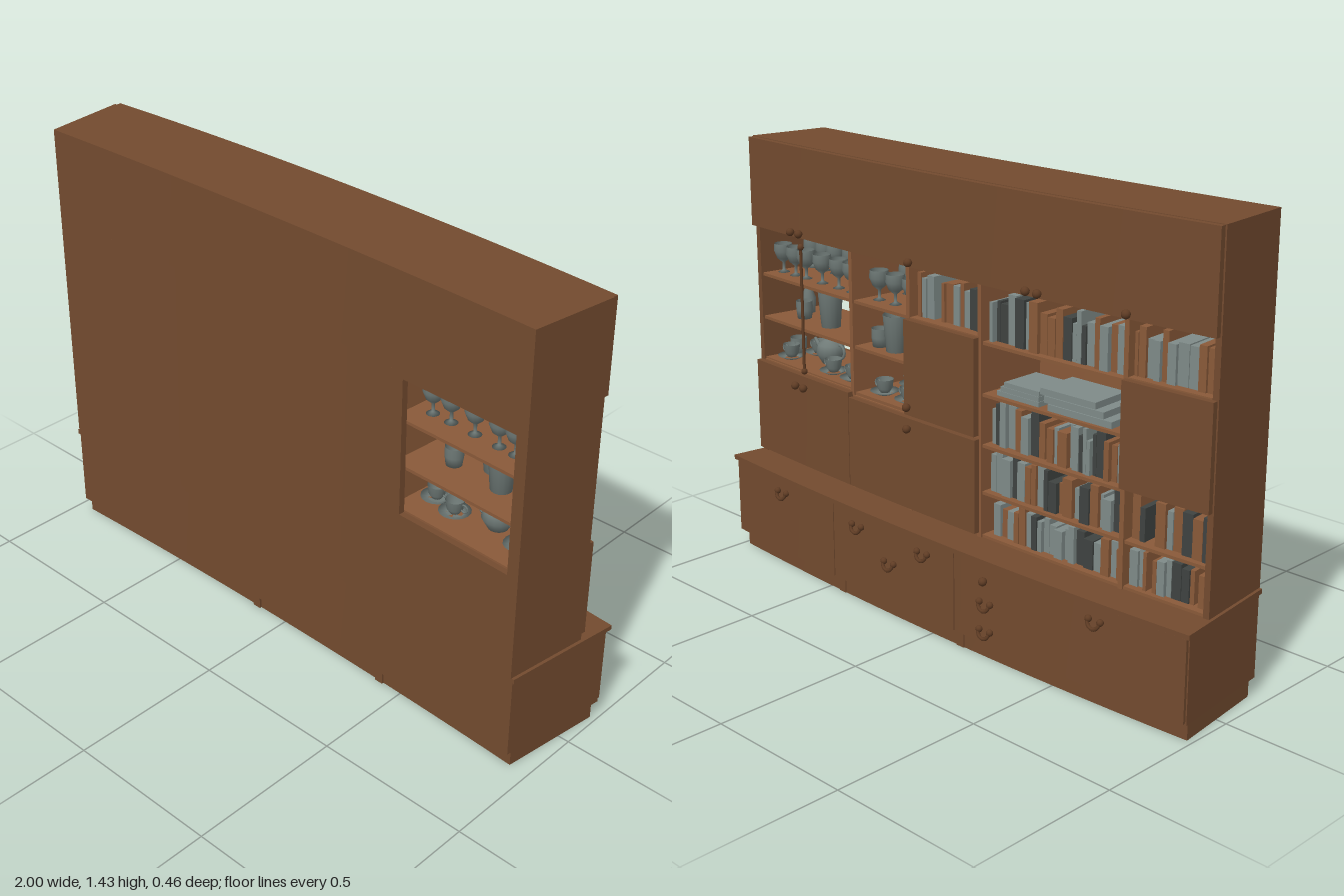
import * as THREE from 'three';

const mat = (name, color, side = THREE.FrontSide) => {
  const m = new THREE.MeshStandardMaterial({ color, side });
  m.name = name;
  return m;
};

// Gently bowed plan: u runs along the cabinet, d is depth at its middle.
const bow = (u, d) => [
  u * (1 - 0.12 * (d + 0.21)) - 0.012 * (d + 0.21),
  d + (0.0286 - 0.045 * d) * u * u + 0.01 * u,
];

export function createModel() {
  const root = new THREE.Group();
  root.name = 'curvedWallCabinet';
  const wood = mat('walnut', 0x734b2f);
  const inner = mat('light wood', 0x8a5a39);
  const metal = mat('bronze', 0x5f3c24);
  const grey = mat('grey china', 0x6f7a77, THREE.DoubleSide);
  const paper = mat('pale book', 0x7f8b89);
  const dark = mat('dark book', 0x3f4341);

  let seed = 7;
  const rnd = () => (seed = (seed * 16807) % 2147483647) / 2147483647;

  const add = (name, geo, material, parent = root) => {
    const m = new THREE.Mesh(geo, material);
    m.name = name;
    parent.add(m);
    return m;
  };

  // Box bent along the bow
  const slab = (name, u0, u1, y0, y1, d0, d1, material = wood, parent = root) => {
    const n = Math.max(1, Math.ceil((u1 - u0) * 12));
    const g = new THREE.BoxGeometry(u1 - u0, y1 - y0, d1 - d0, n, 1, 1);
    g.translate((u0 + u1) / 2, (y0 + y1) / 2, (d0 + d1) / 2);
    const p = g.attributes.position;
    for (let i = 0; i < p.count; i++) {
      const [x, z] = bow(p.getX(i), p.getZ(i));
      p.setXYZ(i, x, p.getY(i), z);
    }
    g.computeVertexNormals();
    return add(name, g, material, parent);
  };

  // Base, worktop and three cupboard fronts
  slab('base', -0.992, 0.992, 0.055, 0.32, -0.197, 0.187);
  slab('worktop', -1, 1, 0.32, 0.335, -0.215, 0.19);
  for (const [a, b] of [[-0.988, -0.127], [-0.123, 0.443], [0.447, 0.988]])
    slab('baseFront', a, b, 0.062, 0.316, -0.208, -0.197);

  // Hollow plinth
  slab('plinthFront', -0.985, 0.985, 0, 0.055, 0.15, 0.165);
  slab('plinthBack', -0.985, 0.985, 0, 0.055, -0.178, -0.163);
  for (const u of [-0.978, 0.978]) slab('plinthEnd', u - 0.007, u + 0.007, 0, 0.055, -0.163, 0.15);
  for (const u of [-0.125, 0.44]) slab('plinthDivider', u - 0.015, u + 0.015, 0, 0.055, -0.182, 0.172);

  // Upper carcass: wall with a serving hatch, ends and top box
  slab('wall', -0.99, 0.53, 0.335, 1.13, 0.173, 0.193);
  slab('wallEdge', 0.95, 0.99, 0.335, 1.13, 0.173, 0.193);
  slab('wallBelowHatch', 0.53, 0.95, 0.335, 0.67, 0.173, 0.193);
  slab('wallAboveHatch', 0.53, 0.95, 1.11, 1.13, 0.173, 0.193);
  slab('topBox', -0.99, 0.99, 1.13, 1.43, -0.095, 0.193);
  slab('topDoors', -0.985, 0.985, 1.133, 1.428, -0.115, -0.095);
  for (const u of [-0.98, 0.98]) slab('endPanel', u - 0.01, u + 0.01, 0.335, 1.13, -0.095, 0.173);
  for (const u of [-0.68, -0.12, 0.195, 0.475])
    slab('divider', u - 0.008, u + 0.008, 0.335, 1.13, -0.095, 0.173, inner);
  slab('innerBack', -0.97, 0.467, 0.335, 1.13, 0.163, 0.173, inner);

  // Closed compartments with their doors
  const cupboards = [
    [0.475, 0.985, 0.35, 0.665], [-0.12, 0.472, 0.35, 0.65],
    [-0.117, 0.195, 0.66, 0.965], [-0.985, -0.68, 0.645, 0.96],
  ];
  for (const [a, b, y0, y1] of cupboards) {
    slab('cupboard', Math.max(a, -0.97) + 0.002, Math.min(b, 0.97) - 0.002, y0, y1 + 0.004, -0.094, 0.163, inner);
    slab('cupboardDoor', a, b, y0, y1, -0.115, -0.095);
  }

  // Shelves
  const shelves = [
    [0.483, 0.97, [0.67, 0.815, 0.965]], [0.203, 0.467, [0.66, 0.815, 0.965]],
    [-0.672, -0.128, [0.34, 0.48, 0.63, 0.79, 0.95]], [-0.97, -0.688, [0.34, 0.48]],
  ];
  for (const [a, b, ys] of shelves)
    for (const y of ys) slab('shelf', a, b, y - 0.006, y + 0.004, -0.088, 0.17, inner);

  // Books of varied thickness and height
  const books = new THREE.Group();
  books.name = 'books';
  root.add(books);
  const covers = [paper, inner, paper, inner, dark];
  const bookRow = (u0, u1, y, h) => {
    for (let u = u0; u < u1 - 0.012;) {
      const w = Math.min(0.014 + rnd() * 0.026, u1 - u);
      if (rnd() > 0.06)
        slab('book', u, u + w - 0.002, y, y + h * (0.72 + 0.28 * rnd()), -0.075 + rnd() * 0.02, 0.07,
          covers[Math.floor(rnd() * covers.length)], books);
      u += w;
    }
  };
  for (const [y, h] of [[0.344, 0.12], [0.484, 0.13], [0.634, 0.14], [0.954, 0.155]])
    bookRow(-0.66, -0.14, y, h);
  for (const [y, h] of [[0.344, 0.12], [0.484, 0.14], [0.964, 0.15]]) bookRow(-0.96, -0.69, y, h);
  bookRow(-0.105, 0.18, 0.969, 0.14);
  for (let i = 0; i < 3; i++) {
    slab('flatBook', -0.62 + i * 0.03, -0.38 + i * 0.015, 0.794 + i * 0.022, 0.814 + i * 0.022, -0.075, 0.07, paper, books);
    slab('flatBook', -0.34, -0.17 - i * 0.015, 0.794 + i * 0.016, 0.809 + i * 0.016, -0.07, 0.07, paper, books);
  }

  // Glass and china turned from short profiles
  const lathe = (pts) => new THREE.LatheGeometry(pts.map(([r, y]) => new THREE.Vector2(r, y)), 16);
  const shapes = {
    goblet: lathe([[0, 0], [0.02, 0.002], [0.005, 0.01], [0.005, 0.035], [0.022, 0.05], [0.032, 0.075], [0.03, 0.1]]),
    tumbler: lathe([[0, 0], [0.024, 0], [0.028, 0.03], [0.028, 0.06]]),
    beaker: lathe([[0, 0], [0.032, 0], [0.042, 0.12], [0.039, 0.12], [0.03, 0.01]]),
    bottle: lathe([[0, 0], [0.022, 0], [0.025, 0.05], [0.012, 0.085], [0.01, 0.11], [0.016, 0.125]]),
    saucer: lathe([[0, 0], [0.025, 0], [0.048, 0.012], [0.025, 0.004]]),
    cup: lathe([[0, 0.006], [0.015, 0.006], [0.024, 0.02], [0.029, 0.05]]),
    teapot: lathe([[0, 0], [0.03, 0], [0.05, 0.035], [0.044, 0.065], [0.022, 0.08], [0.006, 0.085], [0.009, 0.097], [0, 0.1]]),
    spout: new THREE.CylinderGeometry(0.005, 0.011, 0.06, 8).rotateZ(-0.8).translate(0.06, 0.05, 0),
    teapotHandle: new THREE.TorusGeometry(0.024, 0.005, 6, 12, Math.PI).rotateZ(Math.PI / 2).translate(-0.045, 0.045, 0),
    cupHandle: new THREE.TorusGeometry(0.012, 0.003, 6, 10).translate(0.033, 0.03, 0),
  };
  const china = new THREE.Group();
  china.name = 'glassAndChina';
  root.add(china);
  const put = (kind, u, y, d) => {
    const parts = kind === 'cup' ? ['saucer', 'cup', 'cupHandle']
      : kind === 'teapot' ? ['teapot', 'spout', 'teapotHandle'] : [kind];
    const [x, z] = bow(u, d);
    for (const p of parts) add(p, shapes[p], grey, china).position.set(x, y, z);
  };
  for (const d of [-0.03, 0.09]) {
    for (const u of [0.55, 0.62, 0.71, 0.8, 0.86, 0.93]) put('goblet', u, 0.969, d);
    for (const u of [0.25, 0.33, 0.41]) {
      put('goblet', u, 0.969, d);
      put(u === 0.33 ? 'beaker' : 'tumbler', u, 0.819, d);
    }
    for (const u of [0.27, 0.39]) put('cup', u, 0.664, d);
  }
  [['bottle', 0.55], ['tumbler', 0.61], ['beaker', 0.71], ['beaker', 0.79], ['tumbler', 0.86], ['bottle', 0.92]]
    .forEach(([k, u], i) => put(k, u, 0.819, i % 2 ? 0.06 : 0));
  [['cup', 0.55, 0.06], ['cup', 0.64, 0.08], ['teapot', 0.77, 0.04], ['cup', 0.88, 0.07], ['cup', 0.55, -0.03],
    ['cup', 0.66, -0.03], ['cup', 0.9, -0.03], ['tumbler', 0.93, 0.02]].forEach(([k, u, d]) => put(k, u, 0.674, d));

  // Round knobs
  const ball = new THREE.SphereGeometry(0.0135, 12, 8);
  const stem = new THREE.CylinderGeometry(0.006, 0.006, 0.02, 8).rotateX(Math.PI / 2);
  const knob = (u, y, d) => {
    const [x, z] = bow(u, d);
    const g = new THREE.Group();
    g.name = 'knob';
    g.position.set(x, y, z);
    add('knobStem', stem, metal, g).position.z = -0.004;
    add('knobBall', ball, metal, g).position.z = -0.014;
    root.add(g);
  };
  for (const u of [-0.7, -0.38, -0.335, 0.155, 0.7, 0.745]) knob(u, 1.15, -0.115);
  for (const u of [0.7, 0.745]) knob(u, 0.63, -0.115);
  knob(0.17, 0.62, -0.115);
  knob(0.17, 0.69, -0.115);
  knob(-0.26, 0.27, -0.208);

  // Drop handles on the base
  const bail = new THREE.TorusGeometry(0.022, 0.006, 6, 12, Math.PI).rotateZ(Math.PI).rotateX(0.25);
  const boss = new THREE.SphereGeometry(0.011, 10, 8);
  for (const [u, y] of [[0.72, 0.27], [0.32, 0.27], [0.01, 0.27], [0.165, 0.19], [-0.26, 0.19], [-0.26, 0.1], [-0.68, 0.27]]) {
    const [x, z] = bow(u, -0.208);
    const g = new THREE.Group();
    g.name = 'dropHandle';
    g.position.set(x, y, z);
    for (const s of [-1, 1]) add('handleBoss', boss, metal, g).position.set(s * 0.022, 0.008, -0.006);
    add('handleBail', bail, metal, g).position.set(0, 0.006, -0.01);
    root.add(g);
  }

  // Upright bolt rod across the china shelves
  const [rx, rz] = bow(0.722, -0.105);
  add('boltRod', new THREE.CylinderGeometry(0.005, 0.005, 0.42, 8), metal).position.set(rx, 0.89, rz);
  for (const y of [0.68, 1.1]) add('boltEnd', boss, metal).position.set(rx, y, rz);

  return root;
}
